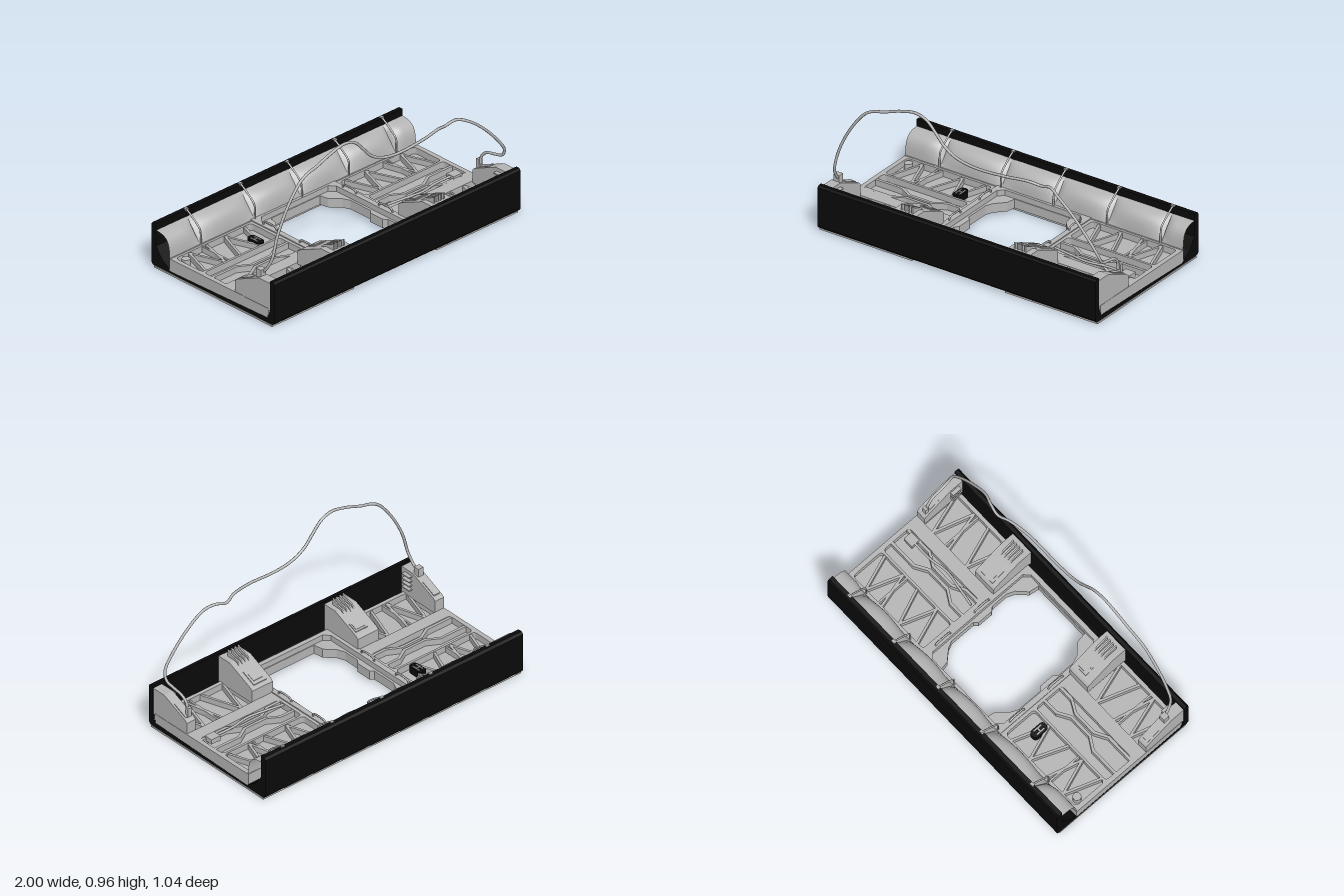
import * as THREE from 'three';

const grey = new THREE.MeshStandardMaterial({ color: 0xb4b4b4, side: THREE.DoubleSide });
grey.name = 'grey metal';
const black = new THREE.MeshStandardMaterial({ color: 0x0a0a0a });
black.name = 'black panel';

function toPoints(list) {
  return list.map((p) => new THREE.Vector2(p[0], p[1]));
}

// closed (z, y) outline swept from x0 to x1
function sweepX(outline, x0, x1) {
  const shape = new THREE.Shape(toPoints(outline));
  const geo = new THREE.ExtrudeGeometry(shape, { depth: x1 - x0, bevelEnabled: false });
  geo.rotateY(-Math.PI / 2);
  geo.translate(x1, 0, 0);
  return geo;
}

// (x, z) shape raised from y0 to y1
function raise(shape, y0, y1) {
  const geo = new THREE.ExtrudeGeometry(shape, { depth: y1 - y0, bevelEnabled: false, curveSegments: 6 });
  geo.rotateX(Math.PI / 2);
  geo.translate(0, y1, 0);
  return geo;
}

function box(x0, x1, y0, y1, z0, z1) {
  const geo = new THREE.BoxGeometry(x1 - x0, y1 - y0, z1 - z0);
  geo.translate((x0 + x1) / 2, (y0 + y1) / 2, (z0 + z1) / 2);
  return geo;
}

// rounded rectangle drawn into a shape or a hole path
function roundRect(s, x0, x1, z0, z1, r) {
  s.moveTo(x0 + r, z0);
  s.lineTo(x1 - r, z0);
  s.quadraticCurveTo(x1, z0, x1, z0 + r);
  s.lineTo(x1, z1 - r);
  s.quadraticCurveTo(x1, z1, x1 - r, z1);
  s.lineTo(x0 + r, z1);
  s.quadraticCurveTo(x0, z1, x0, z1 - r);
  s.lineTo(x0, z0 + r);
  s.quadraticCurveTo(x0, z0, x0 + r, z0);
  return s;
}

function tube(list, radius, segments, sides) {
  const points = list.map((p) => new THREE.Vector3(p[0], p[1], p[2]));
  const curve = new THREE.CatmullRomCurve3(points, false, 'centripetal');
  return new THREE.TubeGeometry(curve, segments, radius, sides);
}

// straight bar between two (x, z) points
function bar(ax, az, bx, bz, width, y0, y1) {
  const dx = bx - ax;
  const dz = bz - az;
  const geo = new THREE.BoxGeometry(Math.hypot(dx, dz) + width * 0.4, y1 - y0, width);
  geo.rotateY(-Math.atan2(dz, dx));
  geo.translate((ax + bx) / 2, (y0 + y1) / 2, (az + bz) / 2);
  return geo;
}

export function createModel() {
  const root = new THREE.Group();
  function add(name, geo, mat = grey) {
    const mesh = new THREE.Mesh(geo, mat);
    mesh.name = name;
    root.add(mesh);
  }

  // long black walls
  const frontWall = [[0.46, 0.015], [0.505, 0.015], [0.52, 0.03], [0.52, 0.288], [0.508, 0.3], [0.485, 0.3], [0.485, 0.1], [0.46, 0.045]];
  const backWall = [[-0.36, 0.015], [-0.36, 0.035], [-0.43, 0.08], [-0.48, 0.15], [-0.48, 0.3], [-0.508, 0.3], [-0.52, 0.285], [-0.52, 0.03], [-0.505, 0.015]];
  add('frontWall', sweepX(frontWall, -1, 1), black);
  add('backWall', sweepX(backWall, -1, 1), black);

  // thin base plate, notched at the front
  const base = [[-1, -0.5], [1, -0.5], [1, 0.5], [0.335, 0.5], [0.335, -0.36], [-0.335, -0.36], [-0.335, 0.5], [-1, 0.5]];
  add('basePlate', raise(new THREE.Shape(toPoints(base)), 0, 0.012));

  // outlines shared by both halves
  const liner = [[-0.36, 0.015], [0.46, 0.015], [0.46, 0.045], [-0.36, 0.025]];
  const pan = [[-0.36, 0.026], [0.462, 0.046], [0.462, 0.068], [-0.36, 0.068]];
  const housing = [[0.484, 0.1], [0.484, 0.282], [0.385, 0.282], [0.2, 0.2], [0.185, 0.185], [0.185, 0.1]];
  const fin = [[0.34, 0.26], [0.45, 0.28], [0.45, 0.325], [0.42, 0.308], [0.37, 0.29]];
  const handle = [[0, 0.105, -0.055], [0, 0.127, -0.055], [0, 0.136, -0.045], [0, 0.136, 0.045], [0, 0.127, 0.055], [0, 0.105, 0.055]];
  const recesses = [[-0.345, -0.12], [-0.105, 0.1], [0.185, 0.445]];
  const zigzag = [0.94, 0.86, 0.78, 0.72, 0.66, 0.57, 0.49, 0.41];

  // plate lying on the housing slope
  function slopePlate(name, x0, x1, z0, z1, height) {
    const y0 = 0.2 + (z0 - 0.2) * 0.443;
    const y1 = 0.2 + (z1 - 0.2) * 0.443;
    add(name, sweepX([[z0, y0], [z1, y1], [z1, y1 + height], [z0, y0 + height]], x0, x1));
  }

  for (const s of [-1, 1]) {
    // mirrored x range
    const lo = (a, b) => Math.min(s * a, s * b);
    const hi = (a, b) => Math.max(s * a, s * b);

    // floor: black liner, grey pan and a lattice with rounded recesses
    add('floorLiner', sweepX(liner, lo(0.335, 1), hi(0.335, 1)), black);
    add('floorPan', sweepX(pan, lo(0.335, 0.999), hi(0.335, 0.999)));
    const lattice = new THREE.Shape(toPoints([[s * 0.335, -0.365], [s, -0.365], [s, 0.47], [s * 0.335, 0.47]]));
    for (const [z0, z1] of recesses) {
      lattice.holes.push(roundRect(new THREE.Path(), lo(0.36, 0.97), hi(0.36, 0.97), z0, z1, 0.025));
    }
    add('floorLattice', raise(lattice, 0.066, 0.11));

    // zigzag ribs in the front and back recesses
    for (const [z0, z1] of [recesses[0], recesses[2]]) {
      for (const i of [0, 1, 2, 4, 5, 6]) {
        const za = i % 2 === 0 ? z1 : z0;
        add('floorRib', bar(s * zigzag[i], za, s * zigzag[i + 1], z0 + z1 - za, 0.016, 0.066, 0.104));
      }
      add('floorRib', bar(s * 0.75, z0, s * 0.75, z1, 0.012, 0.066, 0.104));
    }

    // stepped ribs in the middle recess
    for (const [far, near] of [[-0.035, 0.012], [0.088, 0.045]]) {
      const line = [[0.97, far], [0.78, far], [0.7, near], [0.54, near], [0.46, far], [0.36, far]];
      for (let i = 1; i < line.length; i++) {
        const a = line[i - 1];
        const b = line[i];
        add('steppedRib', bar(s * a[0], a[1], s * b[0], b[1], 0.018, 0.066, 0.108));
      }
    }

    // grab handles beside the opening
    for (const z of [0.085, -0.222]) {
      const path = handle.map((p) => [s * 0.322, p[1], z + p[2]]);
      add('grabHandle', tube(path, 0.006, 24, 6));
    }

    // sloped housings along the front wall
    add('endHousing', sweepX(housing, lo(0.93, 0.998), hi(0.93, 0.998)));
    add('endHousingFoot', box(lo(0.935, 0.995), hi(0.935, 0.995), 0.066, 0.1, 0.2, 0.47));
    slopePlate('endHousingPlate', lo(0.943, 0.985), hi(0.943, 0.985), 0.21, 0.31, 0.006);
    add('middleHousing', sweepX(housing, lo(0.33, 0.49), hi(0.33, 0.49)));
    add('middleHousingFoot', box(lo(0.34, 0.48), hi(0.34, 0.48), 0.066, 0.1, 0.2, 0.47));
    for (let i = 0; i < 4; i++) {
      const y = 0.16 + i * 0.03;
      const x = s * (0.368 + i * 0.026);
      add('sideLouvre', box(lo(0.905, 0.93), hi(0.905, 0.93), y, y + 0.008, 0.39, 0.455));
      add('topFin', sweepX(fin, x - 0.005, x + 0.005));
    }
  }

  // control plates on the middle housings
  slopePlate('screenFrame', -0.435, -0.345, 0.22, 0.28, 0.006);
  slopePlate('screen', -0.425, -0.355, 0.23, 0.27, 0.009);
  slopePlate('controlPlate', 0.36, 0.46, 0.205, 0.3, 0.006);
  slopePlate('controlPad', 0.375, 0.445, 0.225, 0.28, 0.009);

  // frame around the opening: upper rim and tabbed lower collar
  function frame(name, half, y0, y1) {
    const shape = new THREE.Shape(toPoints([[-0.34, -0.37], [0.34, -0.37], [0.34, 0.46], [-0.34, 0.46]]));
    const mirrored = half.map((p) => [-p[0], p[1]]).reverse();
    shape.holes.push(new THREE.Path(toPoints(half.concat(mirrored))));
    add(name, raise(shape, y0, y1));
  }
  const rim = [[0.27, -0.35], [0.305, -0.315], [0.305, 0.395], [0.27, 0.43]];
  const collar = [[0.2, -0.345], [0.21, -0.29], [0.27, -0.225], [0.29, -0.18], [0.29, -0.01], [0.268, 0.01],
    [0.268, 0.115], [0.29, 0.14], [0.29, 0.25], [0.27, 0.3], [0.21, 0.36], [0.2, 0.425]];
  frame('openingRim', rim, 0.075, 0.117);
  frame('openingCollar', collar, 0.02, 0.08);

  // padded panel along the back, bulging between straps
  const seams = [-1, -0.75, -0.31, 0.07, 0.455, 0.84, 1];
  for (let k = 0; k < 6; k++) {
    const geo = new THREE.PlaneGeometry(1, 1, 16, 12);
    const pos = geo.attributes.position;
    for (let i = 0; i < pos.count; i++) {
      const u = pos.getX(i) + 0.5;
      const v = pos.getY(i) + 0.5;
      const cutEnd = (k === 0 && u < 0.5) || (k === 5 && u > 0.5);
      const across = cutEnd ? 1 : Math.pow(Math.max(0, Math.sin(Math.PI * u)), 0.6);
      const bulge = across * Math.sin(Math.PI * v);
      const x = seams[k] + u * (seams[k + 1] - seams[k]);
      pos.setXYZ(i, x, 0.105 + 0.15 * v + 0.042 * bulge, -0.365 - 0.117 * v + 0.034 * bulge);
    }
    geo.computeVertexNormals();
    add('backPad', geo);
  }
  add('padSill', box(-1, 1, 0.03, 0.112, -0.368, -0.36));
  for (const x of seams.slice(1, 6)) {
    const strap = [[x, 0.1, -0.362], [x, 0.2, -0.366], [x, 0.22, -0.378], [x, 0.296, -0.478], [x, 0.302, -0.492]];
    add('padStrap', tube(strap, 0.006, 20, 6));
    add('strapClip', box(x - 0.012, x + 0.012, 0.293, 0.306, -0.497, -0.48));
  }

  // small floor fittings
  const cap = new THREE.CylinderGeometry(0.026, 0.026, 0.044, 20);
  cap.translate(-0.93, 0.09, -0.3);
  add('floorCap', cap);
  const vent = roundRect(new THREE.Shape(), -0.503, -0.445, -0.24, -0.13, 0.028);
  add('floorVent', raise(vent, 0.066, 0.112), black);
  for (const x of [-0.488, -0.46]) {
    add('ventSlat', box(x - 0.004, x + 0.004, 0.111, 0.117, -0.215, -0.155));
  }
  add('ventBar', box(-0.49, -0.458, 0.111, 0.117, -0.19, -0.182));
  const hose = [[0.37, 0.11, 0.045], [0.5, 0.113, 0.065], [0.62, 0.113, 0.08], [0.75, 0.113, 0.06], [0.88, 0.113, 0.06]];
  add('floorHose', tube(hose, 0.008, 24, 8));
  add('hoseHead', box(0.87, 0.94, 0.09, 0.122, 0.03, 0.09));

  // overhead cable with its end connectors
  const cable = [[-0.955, 0.29, 0.36], [-0.95, 0.33, 0.4], [-0.938, 0.4, 0.435], [-0.9, 0.54, 0.44],
    [-0.82, 0.7, 0.44], [-0.72, 0.83, 0.44], [-0.66, 0.868, 0.44], [-0.58, 0.89, 0.44], [-0.46, 0.933, 0.44],
    [-0.35, 0.955, 0.44], [-0.27, 0.93, 0.44], [-0.2, 0.86, 0.44], [-0.14, 0.795, 0.44], [-0.07, 0.753, 0.44],
    [0.02, 0.73, 0.44], [0.12, 0.724, 0.44], [0.3, 0.734, 0.435], [0.44, 0.737, 0.41], [0.515, 0.72, 0.388],
    [0.59, 0.737, 0.4], [0.66, 0.712, 0.425], [0.78, 0.62, 0.435], [0.9, 0.49, 0.437], [0.955, 0.41, 0.43],
    [0.963, 0.36, 0.405], [0.962, 0.34, 0.34], [0.96, 0.325, 0.275], [0.955, 0.285, 0.235], [0.955, 0.235, 0.23]];
  add('overheadCable', tube(cable, 0.009, 160, 8));
  add('leftConnector', box(-0.98, -0.94, 0.27, 0.325, 0.345, 0.385));
  add('rightConnector', box(0.942, 0.97, 0.205, 0.265, 0.205, 0.228));
  return root;
}
